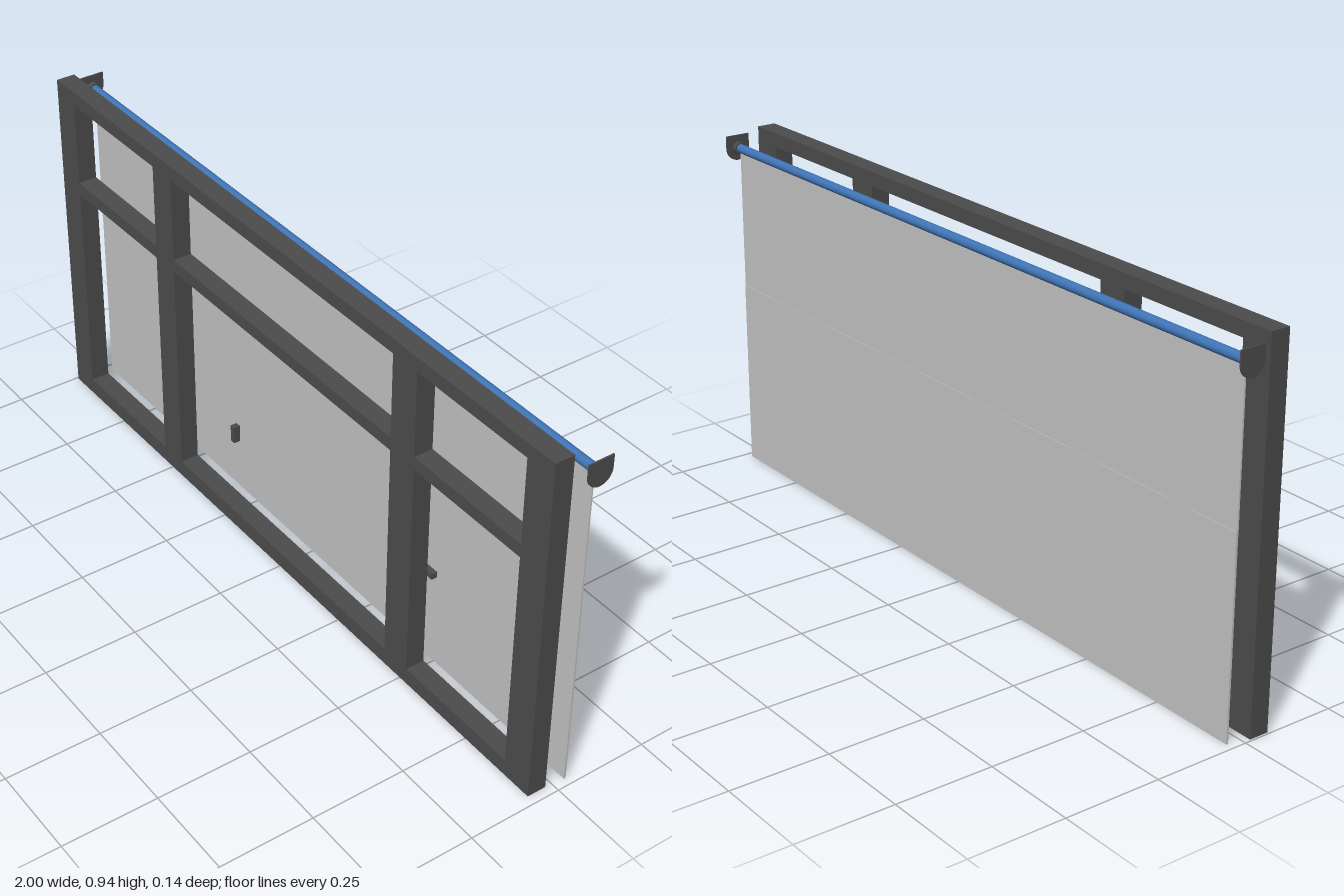
import * as THREE from 'three';

const frameMat = new THREE.MeshStandardMaterial({ color: 0x4c4c4c });
frameMat.name = 'dark grey frame';
const sheetMat = new THREE.MeshStandardMaterial({ color: 0xc2c2c2 });
sheetMat.name = 'light grey fabric';
const tubeMat = new THREE.MeshStandardMaterial({ color: 0x3f74b5 });
tubeMat.name = 'blue tube';

// Box given by its minimum and maximum corners
function box(name, mat, [x0, y0, z0], [x1, y1, z1]) {
  const mesh = new THREE.Mesh(new THREE.BoxGeometry(x1 - x0, y1 - y0, z1 - z0), mat);
  mesh.position.set((x0 + x1) / 2, (y0 + y1) / 2, (z0 + z1) / 2);
  mesh.name = name;
  return mesh;
}

// Cylinder lying along x
function rod(name, mat, radius, x0, x1, y, z, sides = 24) {
  const mesh = new THREE.Mesh(new THREE.CylinderGeometry(radius, radius, x1 - x0, sides), mat);
  mesh.rotation.z = Math.PI / 2;
  mesh.position.set((x0 + x1) / 2, y, z);
  mesh.name = name;
  return mesh;
}

function rectangle(path, x0, x1, y0, y1) {
  path.moveTo(x0, y0).lineTo(x1, y0).lineTo(x1, y1).lineTo(x0, y1).closePath();
  return path;
}

// Frame with three columns and two rows of openings
function windowFrame() {
  const shape = rectangle(new THREE.Shape(), -0.995, 0.975, 0, 0.945);
  for (const [x0, x1] of [[-0.913, -0.537], [-0.456, 0.438], [0.524, 0.89]])
    for (const [y0, y1] of [[0.045, 0.643], [0.678, 0.907]])
      shape.holes.push(rectangle(new THREE.Path(), x0, x1, y0, y1));
  const mesh = new THREE.Mesh(
    new THREE.ExtrudeGeometry(shape, { depth: 0.051, bevelEnabled: false }), frameMat);
  mesh.position.z = 0.018;
  mesh.name = 'windowFrame';
  return mesh;
}

// End plate with a flat top and a round bottom, plus its hub
function bracket(side) {
  const group = new THREE.Group();
  group.name = side > 0 ? 'leftBracket' : 'rightBracket';
  const y = 0.891, z = -0.034, r = 0.034;
  const shape = new THREE.Shape();
  shape.moveTo(r, 0.034).lineTo(-r, 0.034).lineTo(-r, 0);
  shape.absarc(0, 0, r, Math.PI, Math.PI * 2, false);
  shape.closePath();
  const geo = new THREE.ExtrudeGeometry(shape, { depth: 0.004, bevelEnabled: false, curveSegments: 20 });
  geo.rotateY(Math.PI / 2);
  const plate = new THREE.Mesh(geo, frameMat);
  plate.position.set(side > 0 ? 0.996 : -1, y, z);
  plate.name = 'bracketPlate';
  const [x0, x1] = side > 0 ? [0.982, 0.996] : [-0.996, -0.982];
  group.add(plate, rod('bracketHub', frameMat, 0.016, x0, x1, y, z));
  return group;
}

export function createModel() {
  const model = new THREE.Group();
  model.name = 'windowWithRollerBlind';
  model.add(windowFrame());

  // Window handles
  model.add(box('uprightHandle', frameMat, [-0.215, 0.265, 0.05], [-0.2, 0.312, 0.068]));
  model.add(box('levelHandle', frameMat, [0.455, 0.282, -0.018], [0.517, 0.298, -0.002]));

  // Roller blind: tube, two overlapping lengths of fabric and end brackets
  model.add(rod('rollerTube', tubeMat, 0.012, -0.982, 0.982, 0.891, -0.034));
  model.add(box('upperFabric', sheetMat, [-0.98, 0.508, -0.0365], [0.98, 0.885, -0.0325]));
  model.add(box('lowerFabric', sheetMat, [-0.98, 0, -0.038], [0.98, 0.508, -0.033]));
  model.add(bracket(1), bracket(-1));
  return model;
}
